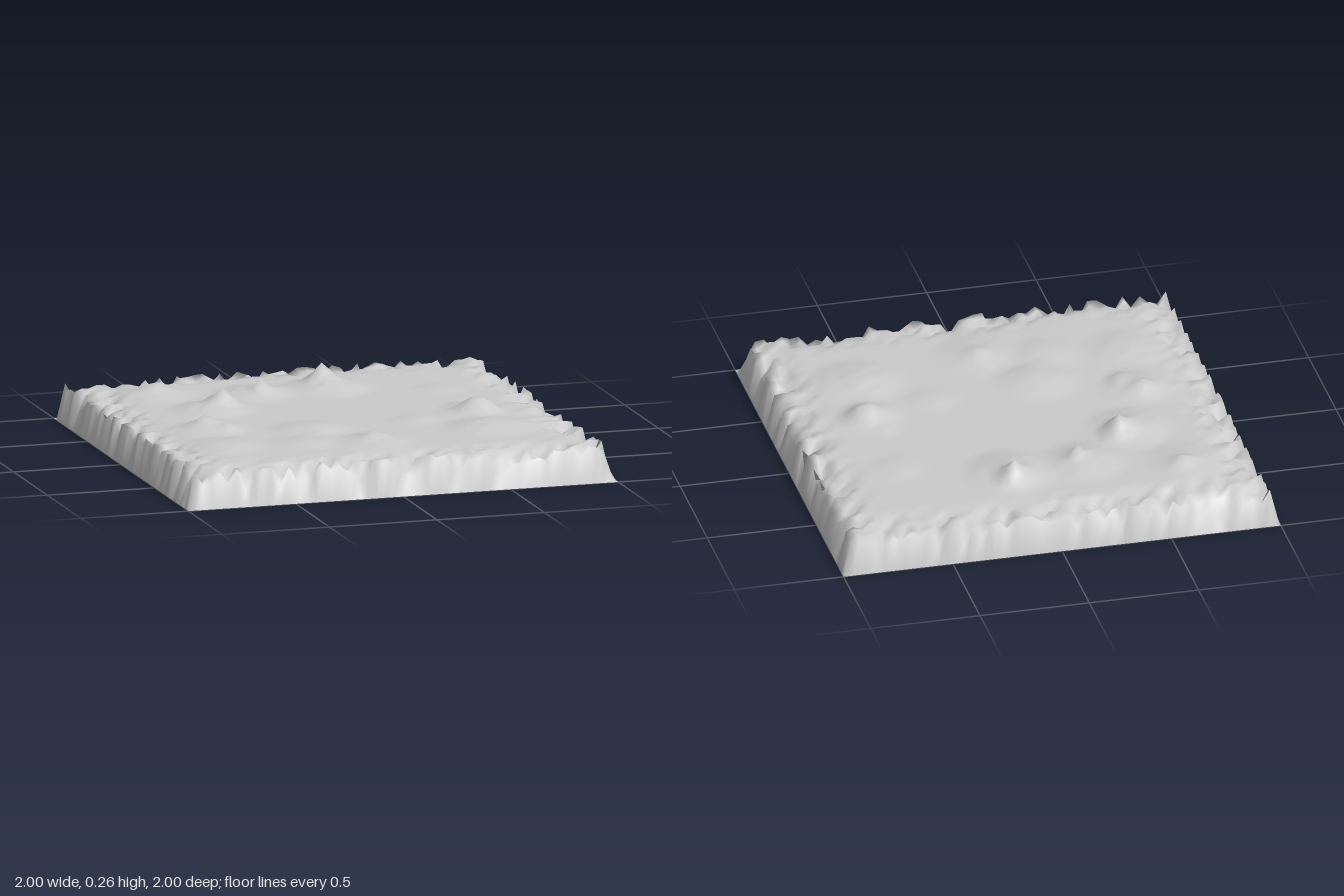
import * as THREE from 'three';

const SEGMENTS = 50;
const PLATEAU = 0.165;

// Broad low mounds: x, z, radius, height
const mounds = [
  [0.12, -0.52, 0.22, 0.035], [-0.5, -0.24, 0.2, 0.032], [-0.22, -0.5, 0.2, 0.03],
  [0.6, 0.14, 0.16, 0.025], [0.58, 0.46, 0.22, 0.03], [-0.2, 0.28, 0.2, 0.025],
  [-0.62, 0.12, 0.18, 0.025], [-0.66, -0.62, 0.2, 0.02], [0, 0.58, 0.2, 0.022],
  [-0.66, 0.48, 0.2, 0.02], [0.3, 0.22, 0.13, 0.012], [0.6, -0.36, 0.13, 0.012],
  [-0.3, 0.52, 0.18, 0.015],
];

// Sharp little summits: x, z, radius, height
const peaks = [
  [-0.44, -0.28, 0.09, 0.065], [0.12, -0.6, 0.09, 0.065], [-0.2, -0.48, 0.06, 0.04],
  [0.62, 0.12, 0.1, 0.055], [-0.64, -0.64, 0.07, 0.03], [-0.64, 0.08, 0.07, 0.03],
  [-0.56, 0.2, 0.06, 0.02], [0, 0.56, 0.07, 0.025], [0.56, 0, 0.06, 0.02],
];

// Repeatable value in 0..1 for a grid point
function hash(i, j) {
  const s = Math.sin(i * 127.1 + j * 311.7) * 43758.5453;
  return s - Math.floor(s);
}

function heightAt(x, z, i, j) {
  const inset = 1 - Math.max(Math.abs(x), Math.abs(z));
  if (inset < 0.001) return 0;

  // Rolling centre, with roughness only where there are mounds
  let rise = 0;
  for (const [mx, mz, r, h] of mounds) {
    const d = Math.hypot(x - mx, z - mz) / r;
    if (d < 1) rise = Math.max(rise, h * (1 - d * d) ** 1.5);
  }
  rise *= 0.8 + 0.4 * hash(i + 60, j);
  for (const [px, pz, r, h] of peaks) {
    rise += h * Math.max(0, 1 - Math.hypot(x - px, z - pz) / r);
  }

  // Notches eroded into the rim, fading inwards
  const fade = THREE.MathUtils.clamp((0.24 - inset) / 0.2, 0, 1);
  const notch = 0.105 * hash(i, j) ** 2 * fade ** 1.4;
  return PLATEAU + rise * (1 - fade) - notch;
}

export function createModel() {
  const group = new THREE.Group();
  group.name = 'terrainTile';

  // One open sheet whose outer edge drops to the ground
  const geometry = new THREE.PlaneGeometry(2, 2, SEGMENTS, SEGMENTS);
  geometry.rotateX(-Math.PI / 2);
  const position = geometry.attributes.position;
  for (let k = 0; k < position.count; k++) {
    const i = k % (SEGMENTS + 1);
    const j = Math.floor(k / (SEGMENTS + 1));
    position.setY(k, heightAt(position.getX(k), position.getZ(k), i, j));
  }
  geometry.computeVertexNormals();

  const material = new THREE.MeshStandardMaterial({ color: 0xcccccc, side: THREE.DoubleSide });
  const terrain = new THREE.Mesh(geometry, material);
  terrain.name = 'terrainSurface';
  group.add(terrain);
  return group;
}
